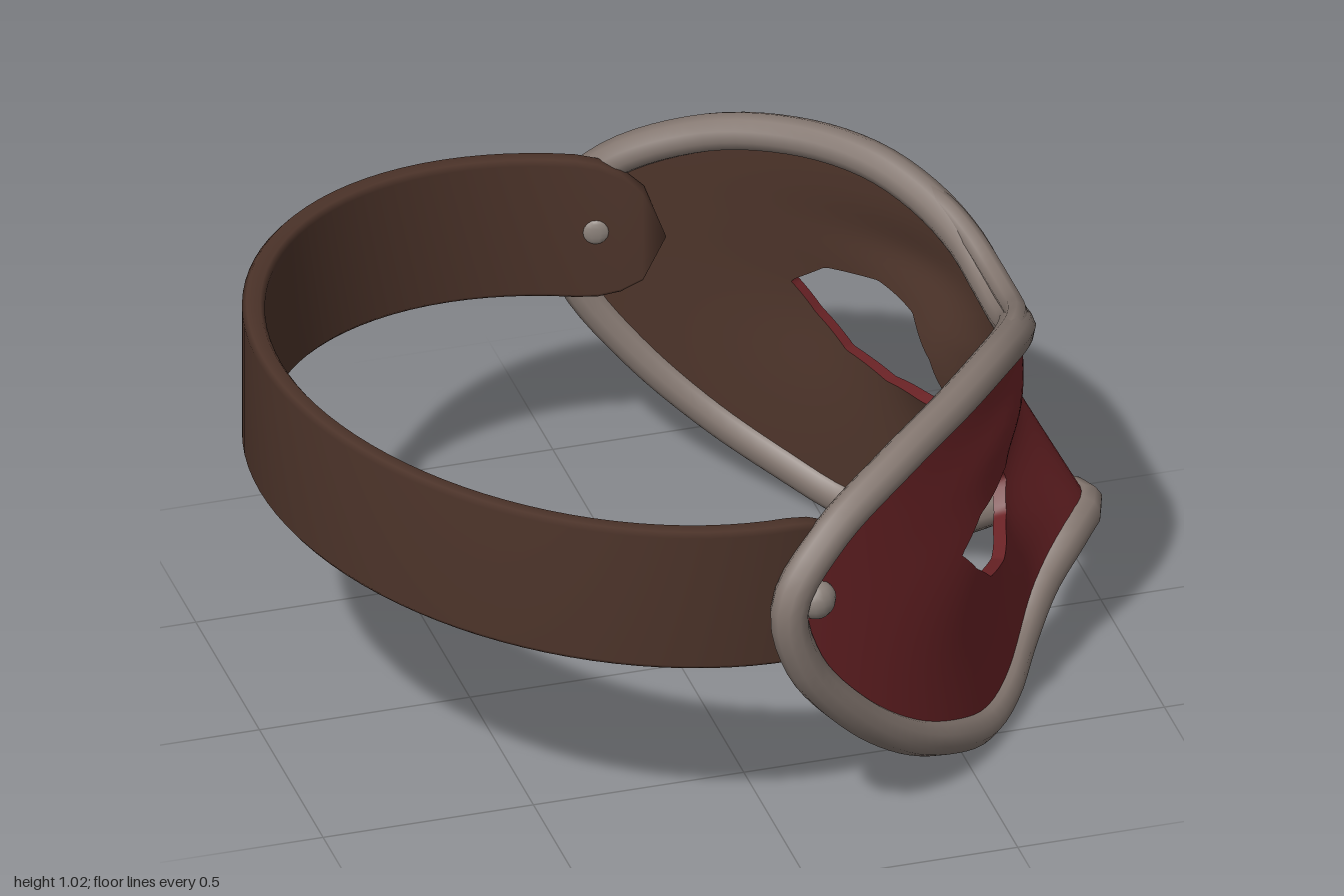
import * as THREE from 'three';
import { mergeGeometries, mergeVertices } from 'three/addons/utils/BufferGeometryUtils.js';

const material = (name, color) => {
  const m = new THREE.MeshStandardMaterial({ color });
  m.name = name;
  return m;
};

// Mask surface: x as a function of z and y (the mask faces +x)
const bump = (z, y, cz, cy, w, h) => Math.exp(-(((z - cz) / w) ** 2) - ((y - cy) / h) ** 2);
function maskX(zSigned, y) {
  const z = Math.abs(zSigned);
  const nose = Math.max(0, 0.63 - y) * 0.52 * Math.exp(-((z / 0.15) ** 2));
  return 0.77 - 0.78 * z * z - 0.27 * z ** 8 + nose
    - 0.055 * bump(z, y, 0.25, 0.53, 0.13, 0.16)
    + 0.03 * bump(z, y, 0.6, 0.55, 0.15, 0.2)
    + 0.02 * bump(z, y, 0.38, 0.76, 0.2, 0.07);
}
// Point on the mask, pushed out along the normal by d
function maskPoint(z, y, d = 0) {
  const e = 0.004;
  const n = new THREE.Vector3(1,
    -(maskX(z, y + e) - maskX(z, y - e)) / (2 * e),
    -(maskX(z + e, y) - maskX(z - e, y)) / (2 * e)).normalize();
  return new THREE.Vector3(maskX(z, y), y, z).addScaledVector(n, d);
}

// Grid of quads from a point function of row and column
function grid(pointAt, nu, nv, flip = false) {
  const pos = [], index = [];
  for (let i = 0; i <= nu; i++) {
    for (let j = 0; j <= nv; j++) pos.push(...pointAt(i, j).toArray());
  }
  for (let i = 0; i < nu; i++) {
    for (let j = 0; j < nv; j++) {
      const a = i * (nv + 1) + j, b = a + nv + 1;
      if (flip) index.push(a, a + 1, b, b, a + 1, b + 1);
      else index.push(a, b, a + 1, b, b + 1, a + 1);
    }
  }
  const g = new THREE.BufferGeometry();
  g.setAttribute('position', new THREE.Float32BufferAttribute(pos, 3));
  g.setIndex(index);
  return g;
}
function weld(...parts) {
  const g = mergeVertices(mergeGeometries(parts), 1e-4);
  g.computeVertexNormals();
  return g;
}

// Half outline and eye hole, as [z, y]
const OUTLINE = [[0, 0.81], [0.1, 0.83], [0.2, 0.88], [0.33, 0.93], [0.47, 0.965], [0.62, 0.965],
  [0.76, 0.925], [0.87, 0.82], [0.915, 0.68], [0.9, 0.51], [0.84, 0.33], [0.75, 0.19], [0.64, 0.1],
  [0.52, 0.047], [0.4, 0.055], [0.28, 0.1], [0.18, 0.18], [0.09, 0.25], [0, 0.265]];
const EYE = [[0.645, 0.58], [0.58, 0.64], [0.45, 0.66], [0.32, 0.635], [0.235, 0.56],
  [0.205, 0.49], [0.26, 0.43], [0.42, 0.41], [0.53, 0.44], [0.6, 0.51]];
const EYE_CENTRE = new THREE.Vector2(0.43, 0.53);

// Where the ray from the eye centre towards p meets the eye hole
function eyePoint(p) {
  const d = p.clone().sub(EYE_CENTRE).normalize();
  for (let k = 0; k < EYE.length; k++) {
    const a = new THREE.Vector2(...EYE[k]).sub(EYE_CENTRE);
    const e = new THREE.Vector2(...EYE[(k + 1) % EYE.length]).sub(EYE_CENTRE).sub(a);
    const den = d.cross(e), t = a.cross(e) / den, s = a.cross(d) / den;
    if (t > 0 && s >= -1e-6 && s <= 1 + 1e-6) return EYE_CENTRE.clone().addScaledVector(d, t);
  }
  return EYE_CENTRE.clone();
}

export function createModel() {
  const red = material('red leather', 0x6b2326);
  const brown = material('brown leather', 0x4d342a);
  const grey = material('grey trim', 0x83766f);
  const rivetGrey = material('rivet metal', 0x8c827b);
  const model = new THREE.Group();
  model.name = 'eyeMask';
  const add = (name, geometry, mat) => {
    const mesh = new THREE.Mesh(geometry, mat);
    mesh.name = name;
    model.add(mesh);
    return mesh;
  };

  // Closed loop around one half: outline, then up the nose line
  const loop = new THREE.SplineCurve(OUTLINE.map((p) => new THREE.Vector2(...p))).getSpacedPoints(96);
  for (let k = 1; k <= 18; k++) loop.push(new THREE.Vector2(0, 0.265 + (0.545 * k) / 18));
  const eyeLoop = loop.map(eyePoint);
  const RINGS = 14, FRONT = 0.012, BACK = -0.018, n = loop.length - 1;
  const layer = (side, d, flip) => grid((i, j) => {
    const p = loop[i].clone().lerp(eyeLoop[i], j / RINGS);
    return maskPoint(p.x * side, p.y, d);
  }, n, RINGS, flip);
  const eyeWall = (side) => grid(
    (i, j) => maskPoint(eyeLoop[i].x * side, eyeLoop[i].y, j ? BACK : FRONT), n, 1, side < 0);

  add('maskFront', weld(layer(1, FRONT, false), layer(-1, FRONT, true)), red);
  add('maskLining', weld(layer(1, BACK, true), layer(-1, BACK, false)), brown);
  add('leftEyeEdge', weld(eyeWall(1)), red);
  add('rightEyeEdge', weld(eyeWall(-1)), red);

  // Rolled trim around the edge, with a second strand over the brow
  const mirrored = (pts) => [...pts, ...pts.slice(1).reverse().map(([z, y]) => [-z, y])];
  const path = (pts, closed) =>
    new THREE.CatmullRomCurve3(pts.map(([z, y]) => maskPoint(z, y)), closed);
  const rimPoints = mirrored(OUTLINE);
  rimPoints.splice(OUTLINE.length, 1 - 1);
  const right = OUTLINE.slice(1, -1).reverse().map(([z, y]) => [-z, y]);
  add('rimTrim', new THREE.TubeGeometry(path([...OUTLINE, ...right], true), 150, 0.045, 10, true), grey);
  const strand = [[0.42, 0.955], [0.28, 0.935], [0.18, 0.902], [0.08, 0.867]];
  const strandPoints = [...strand, [0, 0.857], ...strand.slice().reverse().map(([z, y]) => [-z, y])];
  add('browTrim', new THREE.TubeGeometry(path(strandPoints, false), 40, 0.028, 8), grey);

  // Strap: a rounded band swept around the back, sloping up to the rear
  const section = [[0.026, 0.168], [0.026, -0.168], [0.016, -0.18], [-0.016, -0.18],
    [-0.026, -0.168], [-0.026, 0.168], [-0.016, 0.18], [0.016, 0.18]];
  const SEG = 64, START = 1.12;
  const strap = grid((i, j) => {
    const t = START + ((2 * Math.PI - 2 * START) * i) / SEG;
    const fromEnd = Math.min(i, SEG - i) / 4;
    const s = fromEnd < 1 ? Math.sqrt(1 - (1 - fromEnd) ** 2) : 1;
    const [d, h] = section[j % section.length];
    const x = -0.155 + (0.819 + d * s) * Math.cos(t);
    return new THREE.Vector3(x, 0.68 - 0.12 * x + h * s, (0.862 + d * s) * Math.sin(t));
  }, SEG, section.length);
  add('strap', weld(strap), brown);

  // Rivets holding the strap: domed outside, flat stud inside
  for (const side of [1, -1]) {
    const label = side > 0 ? 'left' : 'right';
    const rivet = add(label + 'Rivet', new THREE.SphereGeometry(0.046, 14, 10), rivetGrey);
    rivet.position.set(0.055, 0.675, 0.902 * side);
    rivet.rotation.y = 0.4 * side;
    rivet.scale.z = 0.75;
    const stud = add(label + 'Stud', new THREE.SphereGeometry(0.032, 10, 8), rivetGrey);
    stud.position.set(0.045, 0.675, 0.812 * side);
    stud.rotation.y = 0.25 * side;
    stud.scale.z = 0.35;
  }
  return model;
}
